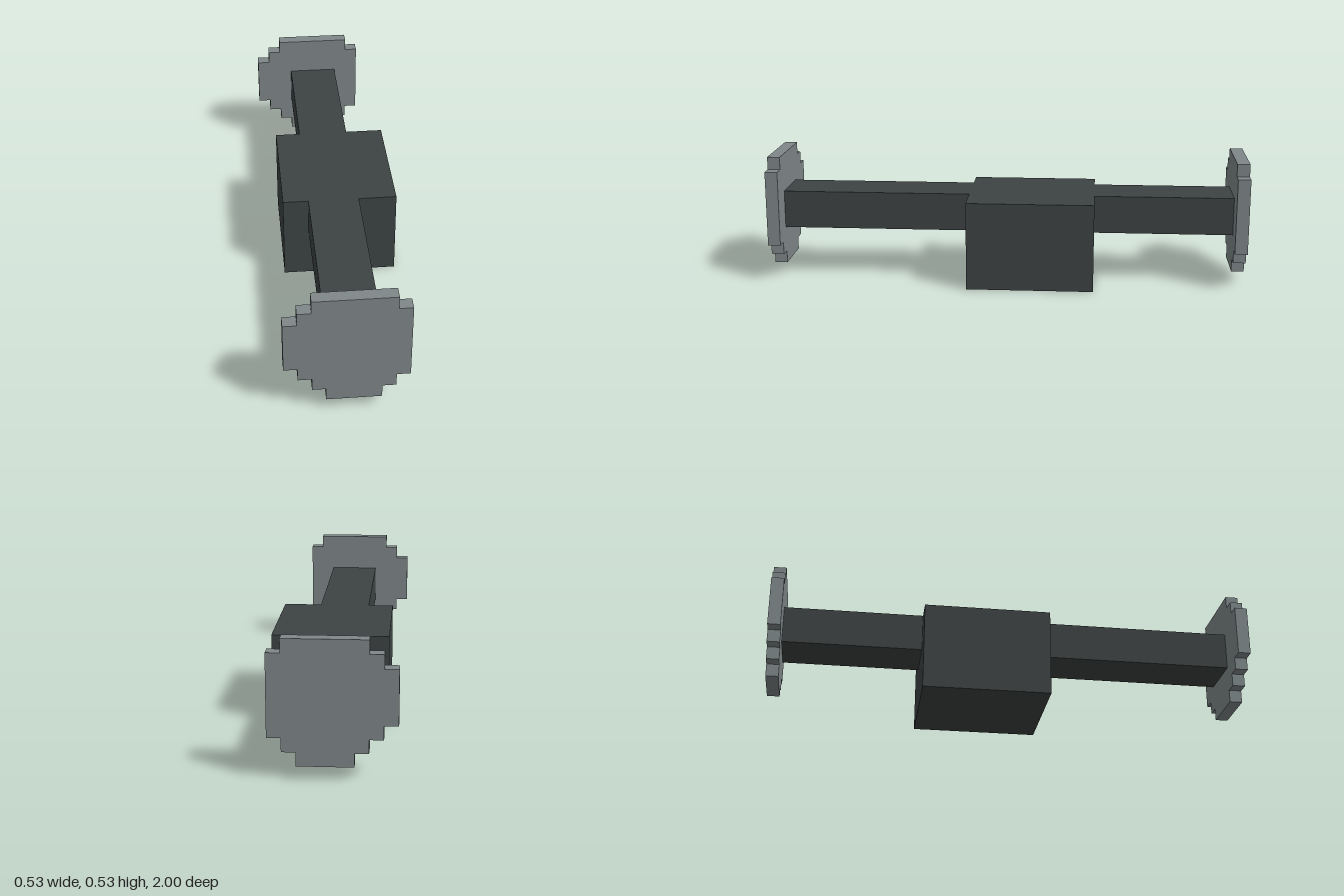
import * as THREE from 'three';

const U = 2 / 38; // one block unit

export function createModel() {
  const group = new THREE.Group();
  const darkMetal = new THREE.MeshStandardMaterial({ color: 0x3d4343 });
  darkMetal.name = 'dark metal';
  const greyMetal = new THREE.MeshStandardMaterial({ color: 0x7f8789 });
  greyMetal.name = 'grey metal';

  // Box from min and max corners in block units
  const addBox = (name, [x0, y0, z0], [x1, y1, z1]) => {
    const geometry = new THREE.BoxGeometry((x1 - x0) * U, (y1 - y0) * U, (z1 - z0) * U);
    const mesh = new THREE.Mesh(geometry, darkMetal);
    mesh.position.set((x0 + x1) / 2 * U, (y0 + y1) / 2 * U, (z0 + z1) / 2 * U);
    mesh.name = name;
    group.add(mesh);
  };

  // Central housing and the axle arms on either side of it
  addBox('housing', [-4, 0, -7], [5, 7, 3]);
  addBox('frontAxle', [-2, 4, 3], [2, 7, 18]);
  addBox('backAxle', [-2, 4, -18], [2, 7, -7]);

  // Stepped end discs, sharing one outline
  const outline = [
    [-2, 1], [2, 1], [2, 2], [3, 2], [3, 3], [4, 3], [4, 9], [3, 9], [3, 10],
    [-3, 10], [-3, 9], [-4, 9], [-4, 8], [-5, 8], [-5, 4], [-4, 4],
    [-4, 3], [-3, 3], [-3, 2], [-2, 2],
  ];
  const shape = new THREE.Shape(outline.map(([x, y]) => new THREE.Vector2(x * U, y * U)));
  const discGeometry = new THREE.ExtrudeGeometry(shape, { depth: U, bevelEnabled: false });
  for (const [name, z] of [['frontDisc', 18], ['backDisc', -19]]) {
    const disc = new THREE.Mesh(discGeometry, greyMetal);
    disc.position.z = z * U;
    disc.name = name;
    group.add(disc);
  }

  return group;
}
